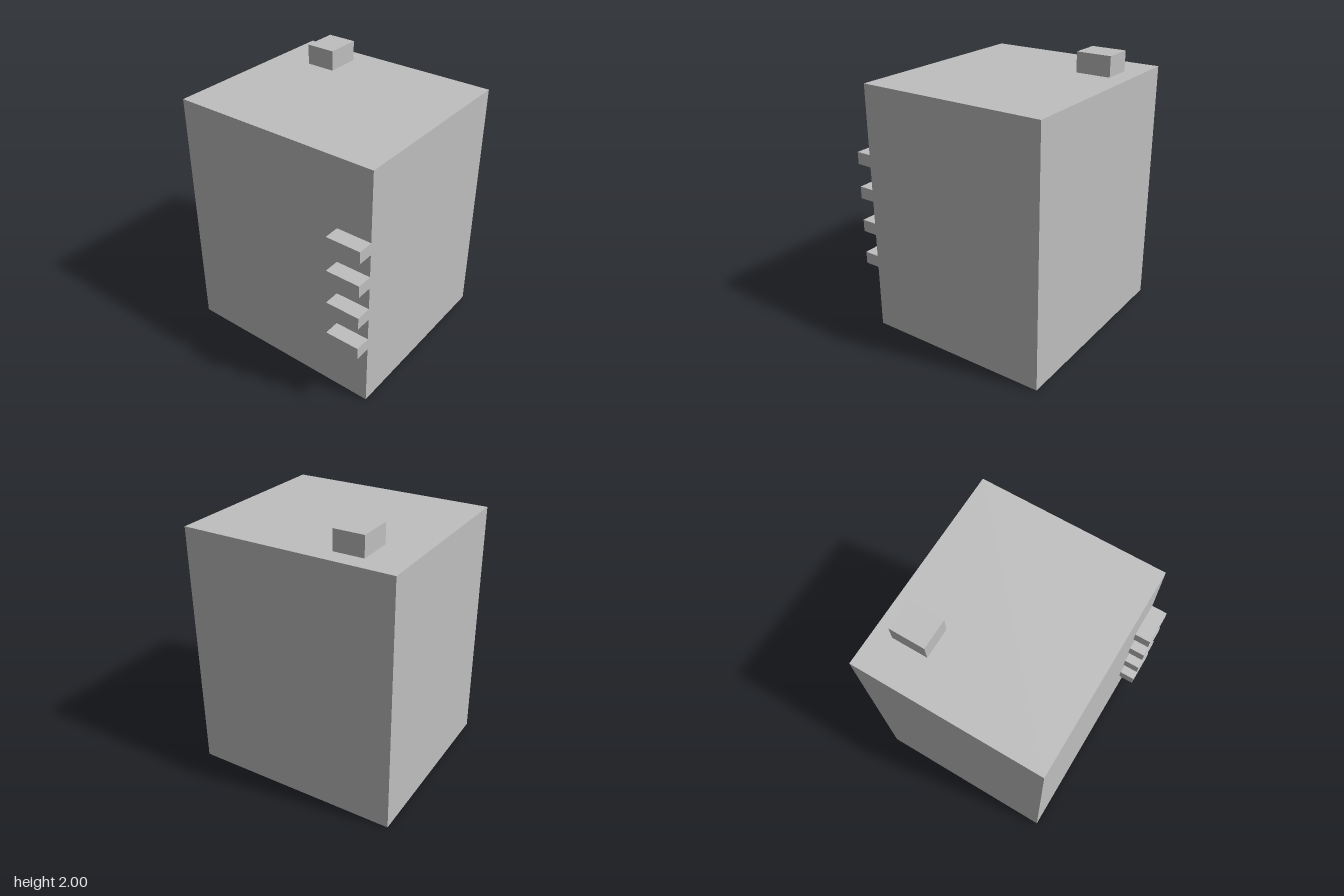
import * as THREE from 'three';

export function createModel() {
  const model = new THREE.Group();
  const concrete = new THREE.MeshStandardMaterial({ color: 0xbfbfbf, side: THREE.DoubleSide });
  concrete.name = 'concrete grey';

  // Box given by its limits on each axis
  function block(name, [x0, x1], [y0, y1], [z0, z1], parent = model) {
    const mesh = new THREE.Mesh(new THREE.BoxGeometry(x1 - x0, y1 - y0, z1 - z0), concrete);
    mesh.position.set((x0 + x1) / 2, (y0 + y1) / 2, (z0 + z1) / 2);
    mesh.name = name;
    parent.add(mesh);
    return mesh;
  }

  const W = 0.777, H = 1.853, BACK = -0.75, FRONT = 0.635;

  // Hollow building shell, open underneath (the box's bottom face is left out)
  const shell = block('buildingShell', [-W, W], [0, H], [BACK, FRONT]);
  const index = Array.from(shell.geometry.index.array);
  index.splice(18, 6);
  shell.geometry.setIndex(index);
  shell.geometry.clearGroups();

  // Roof chimney
  block('chimney', [-0.5, -0.28], [H, 2], [-0.62, -0.36]);

  // Four balconies at the front corner
  for (let i = 0; i < 4; i++) {
    const y = 0.48 + i * 0.26;
    block('balcony', [0.52, W], [y, y + 0.09], [FRONT, 0.75]);
  }

  // Window and door blocks on the inner side of the front wall
  const inner = [FRONT - 0.03, FRONT - 0.001];
  const windows = new THREE.Group();
  windows.name = 'frontWindows';
  model.add(windows);
  for (let row = 0; row < 4; row++) {
    const y = 0.55 + row * 0.265;
    for (const x of [-0.7, -0.29, 0.12]) {
      block('window', [x, x + 0.345], [y, y + 0.13], inner, windows);
    }
  }

  // Ground floor: door with pairs of small windows either side
  block('frontDoor', [-0.09, 0.07], [0.21, 0.42], inner);
  for (const x of [-0.585, -0.34, 0.34, 0.585]) {
    block('groundWindow', [x - 0.06, x + 0.06], [0.29, 0.41], inner, windows);
  }

  return model;
}
